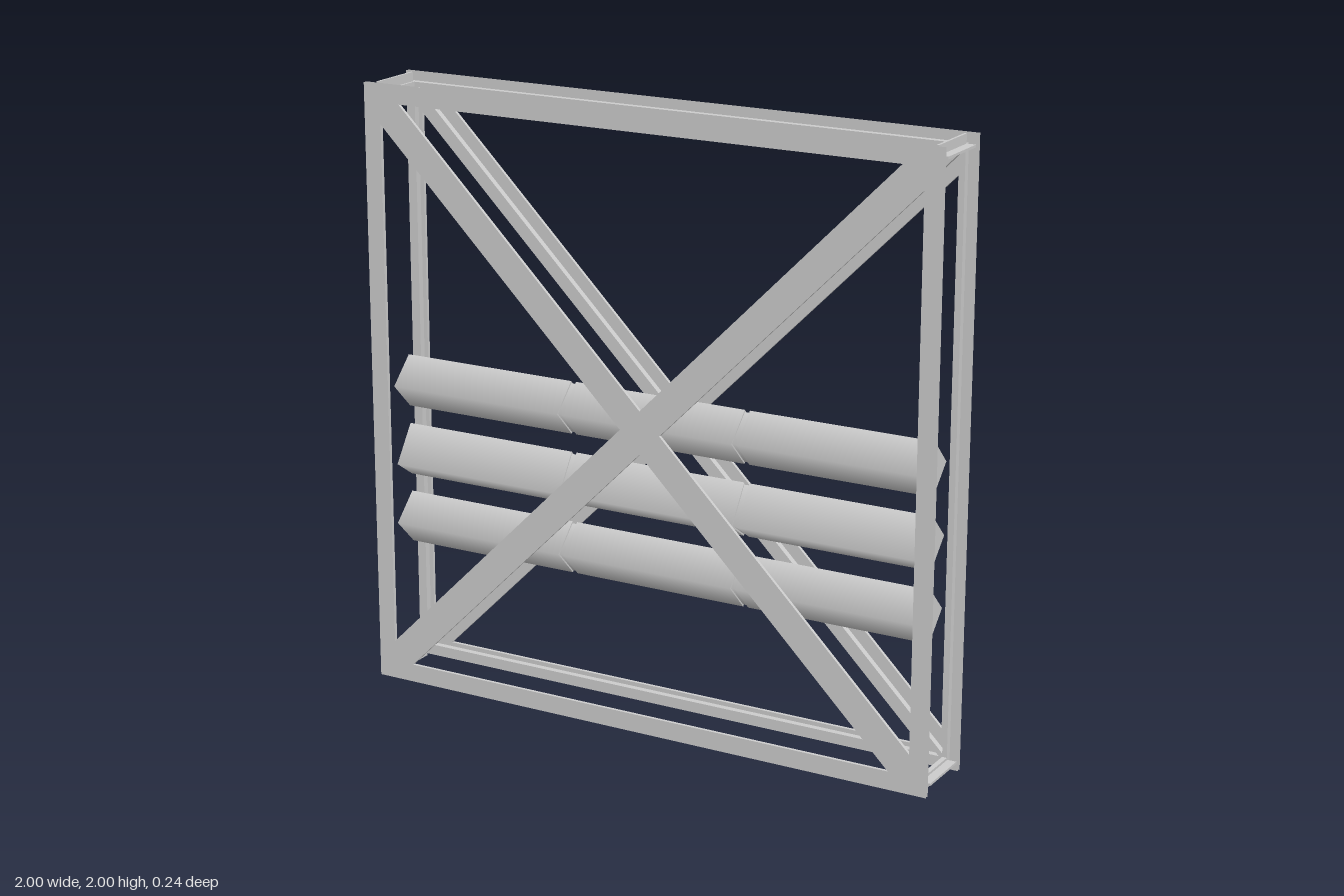
import * as THREE from 'three';

const grey = new THREE.MeshStandardMaterial({ color: 0xcccccc, side: THREE.DoubleSide });

function add(parent, name, geometry, x = 0, y = 0, z = 0) {
  const mesh = new THREE.Mesh(geometry, grey);
  mesh.name = name;
  mesh.position.set(x, y, z);
  parent.add(mesh);
  return mesh;
}

// Triangular openings between the border and the two diagonals
function triangles() {
  const base = [[-0.87, 0.94], [0.87, 0.94], [0, 0.07]];
  return [0, 1, 2, 3].map(i => base.map(([x, y]) =>
    new THREE.Vector2(x, y).rotateAround(new THREE.Vector2(), i * Math.PI / 2)));
}

// Walls around one opening, from z = 0 to z = depth
function wallGeometry(points, depth) {
  const pos = [];
  points.forEach((a, i) => {
    const b = points[(i + 1) % points.length];
    pos.push(a.x, a.y, 0, b.x, b.y, 0, b.x, b.y, depth,
      a.x, a.y, 0, b.x, b.y, depth, a.x, a.y, depth);
  });
  const g = new THREE.BufferGeometry();
  g.setAttribute('position', new THREE.Float32BufferAttribute(pos, 3));
  g.computeVertexNormals();
  return g;
}

// One braced face: cross plate with ribs behind it
function bracedFace() {
  const face = new THREE.Group();
  const shape = new THREE.Shape([[-1, -1], [1, -1], [1, 1], [-1, 1]].map(p => new THREE.Vector2(...p)));
  const holes = triangles();
  shape.holes = holes.map(h => new THREE.Path(h));
  const plate = new THREE.ShapeGeometry(shape);
  add(face, 'outerPlate', plate, 0, 0, 0.122);
  add(face, 'innerPlate', plate, 0, 0, 0.111);
  holes.forEach(h => add(face, 'openingEdge', wallGeometry(h, 0.011), 0, 0, 0.111));
  for (const s of [-1, 1]) {
    add(face, 'horizontalRib', new THREE.BoxGeometry(1.94, 0.016, 0.021), 0, s * 0.962, 0.1005);
    add(face, 'verticalRib', new THREE.BoxGeometry(0.016, 1.94, 0.021), s * 0.962, 0, 0.1005);
    add(face, 'diagonalRib', new THREE.BoxGeometry(2.7, 0.016, 0.021), 0, 0, 0.1005)
      .rotation.z = s * Math.PI / 4;
  }
  return face;
}

// Four-sided bar along x with smooth shading
function barGeometry(radius, length, skewed) {
  const g = new THREE.CylinderGeometry(radius, radius, length, 4).rotateZ(Math.PI / 2);
  if (skewed) {
    const p = g.attributes.position;
    for (let i = 0; i < p.count; i++) {
      if (p.getZ(i) > 0.05) p.setXYZ(i, p.getX(i), p.getY(i) - 0.033, p.getZ(i) * 0.92);
    }
  }
  return g;
}

export function createModel() {
  const model = new THREE.Group();
  model.name = 'bracedFrame';

  // Front and back faces
  for (const side of ['front', 'back']) {
    const face = bracedFace();
    face.name = side + 'Face';
    face.position.y = 1;
    if (side === 'back') face.rotation.y = Math.PI;
    model.add(face);
  }

  // Corner ties joining the two faces
  for (const sx of [-1, 1]) for (const sy of [-1, 1]) {
    const tie = new THREE.Group();
    tie.name = 'cornerTie';
    tie.position.y = 1;
    add(tie, 'tieCore', new THREE.BoxGeometry(0.016, 0.016, 0.222), sx * 0.962, sy * 0.962);
    add(tie, 'tieSideFin', new THREE.BoxGeometry(0.03, 0.008, 0.19), sx * 0.985, sy * 0.966);
    add(tie, 'tieEndFin', new THREE.BoxGeometry(0.008, 0.03, 0.19), sx * 0.966, sy * 0.985);
    model.add(tie);
  }

  // Three bars, each in three lengths with a narrow seam
  [1.002, 0.768, 0.534].forEach((y, row) => {
    const bar = new THREE.Group();
    bar.name = 'crossBar';
    bar.position.y = y;
    const skewed = row === 1;
    for (const i of [-1, 0, 1]) {
      add(bar, 'barLength', barGeometry(0.087, i ? 0.62 : 0.605, skewed), i * 0.63);
    }
    for (const s of [-1, 1]) add(bar, 'barSeam', barGeometry(0.08, 0.03, skewed), s * 0.311);
    model.add(bar);
  });

  return model;
}
